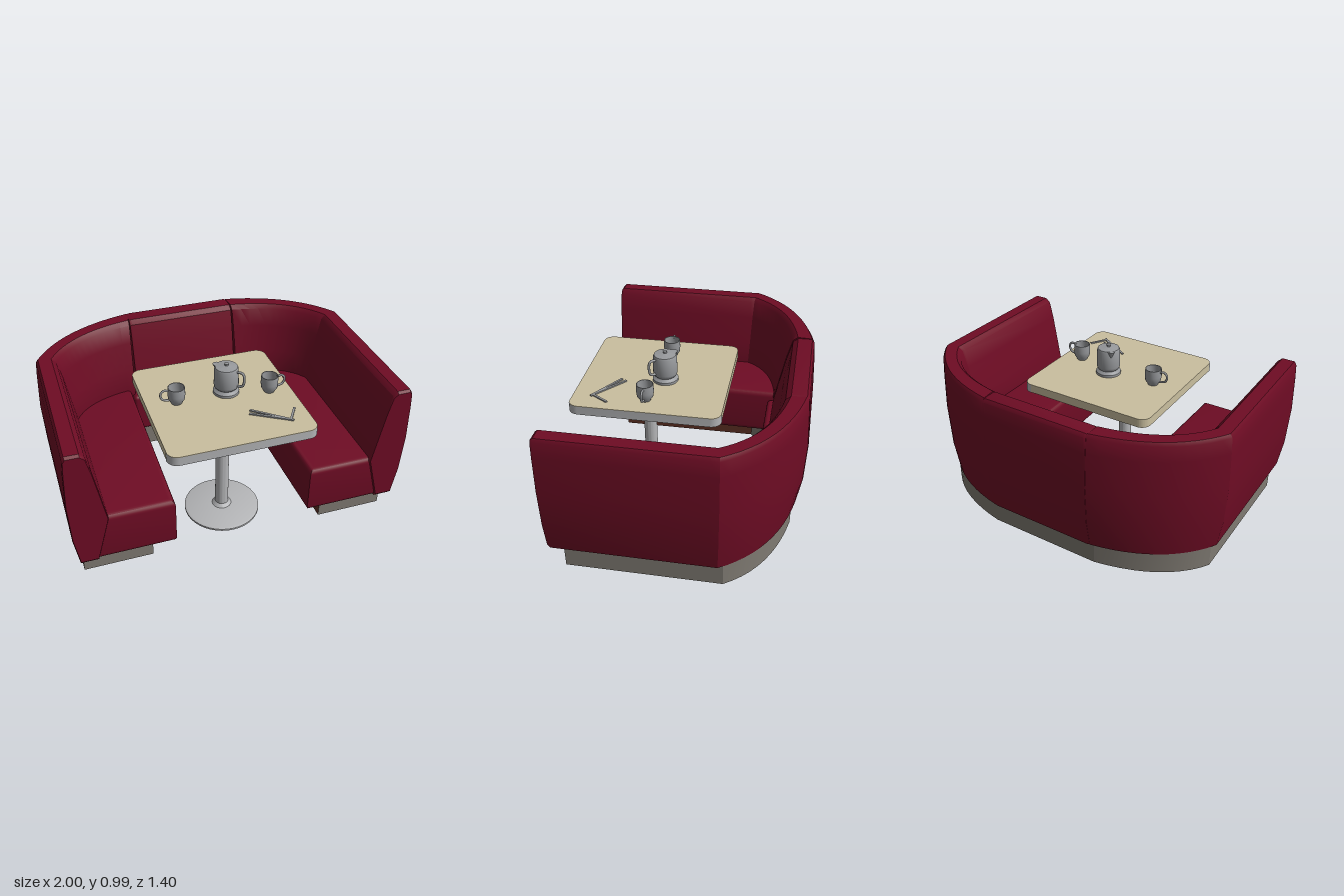
import * as THREE from 'three';
import { toCreasedNormals } from 'three/addons/utils/BufferGeometryUtils.js';
import { RoundedBoxGeometry } from 'three/addons/geometries/RoundedBoxGeometry.js';

const mat = (name, color) => Object.assign(new THREE.MeshStandardMaterial({ color }), { name });
const V2 = (x, z) => new THREE.Vector2(x, z);

export function createModel() {
  const leather = mat('red leather', 0x6e0c24);
  const kick = mat('warm grey plinth', 0x7f7a72);
  const wood = mat('brown underside', 0x5c3024);
  const laminate = mat('beige laminate', 0xcabf9f);
  const metal = mat('light metal', 0xb4b5b7);
  const steel = mat('tableware steel', 0x97999c);

  const root = new THREE.Group();
  root.name = 'diningBooth';
  const add = (name, geo, material, x = 0, y = 0, z = 0, parent = root) => {
    const m = new THREE.Mesh(geo, material);
    m.name = name;
    m.position.set(x, y, z);
    parent.add(m);
    return m;
  };

  // Builds a geometry from triangle corners
  const build = (pos, idx, crease = 0.6) => {
    const g = new THREE.BufferGeometry();
    g.setAttribute('position', new THREE.Float32BufferAttribute(pos, 3));
    g.setIndex(idx);
    return toCreasedNormals(g.toNonIndexed(), crease);
  };

  // Closed skin over cross-section rings, with both ends capped
  const centre = (r) => r.reduce((s, p) => s.add(p), new THREE.Vector3()).divideScalar(r.length);
  const loft = (rings) => {
    const n = rings[0].length, pos = [], idx = [];
    rings.forEach((r) => r.forEach((p) => pos.push(p.x, p.y, p.z)));
    for (let i = 0; i < rings.length - 1; i++) {
      for (let j = 0; j < n; j++) {
        const k = (j + 1) % n, a = i * n + j, d = i * n + k;
        idx.push(a, a + n, d, a + n, d + n, d);
      }
    }
    [0, rings.length - 1].forEach((e, side) => {
      const c = centre(rings[e]), ci = pos.length / 3;
      pos.push(c.x, c.y, c.z);
      for (let j = 0; j < n; j++) {
        const a = e * n + j, b = e * n + (j + 1) % n;
        idx.push(ci, ...(side ? [b, a] : [a, b]));
      }
    });
    return build(pos, idx);
  };

  // Upright one-sided strip along a floor path
  const wall = (pts, y0, y1) => {
    const pos = [], idx = [];
    pts.forEach((p, i) => {
      pos.push(p.x, y0, p.y, p.x, y1, p.y);
      const a = i * 2;
      if (i) idx.push(a - 2, a, a + 1, a - 2, a + 1, a - 1);
    });
    return build(pos, idx);
  };
  const mirror = (list, s) => (s > 0 ? list : list.map((p) => {
    const q = p.clone();
    q.x *= -1;
    return q;
  }).reverse());

  // Backrest profile: fraction of the thickness from the outside, height
  const profile = [[.18, .17], [.05, .35], [0, .6], [.04, .82], [.07, .915], [.13, .935],
    [.48, .935], [.6, .91], [.72, .8], [.87, .62], [1, .46], [.65, .17]];
  const ring = (o, i) => profile.map(([t, y]) =>
    new THREE.Vector3(o.x + (i.x - o.x) * t, y, o.y + (i.y - o.y) * t));
  const shrink = (r, f) => {
    const c = centre(r);
    return r.map((p) => c.clone().lerp(p, f));
  };
  const mirrorRings = (rings, s) => (s > 0 ? rings
    : rings.map((r) => r.map((p) => new THREE.Vector3(-p.x, p.y, p.z))).reverse());

  const armRing = (z) => ring(V2(1, z), V2(.78, z));
  const armRings = [shrink(armRing(.7), .96), armRing(.685), armRing(-.23), ring(V2(1, -.28), V2(.78, -.23))];
  const outer = new THREE.QuadraticBezierCurve(V2(1, -.28), V2(.8, -.61), V2(.34, -.7)).getPoints(12);
  const inner = new THREE.QuadraticBezierCurve(V2(.78, -.23), V2(.68, -.42), V2(.36, -.45)).getPoints(12);
  const cornerRings = outer.map((o, i) => ring(o, inner[i]));
  const plinthCurve = new THREE.QuadraticBezierCurve(V2(.94, -.3), V2(.78, -.56), V2(.36, -.635)).getPoints(10);

  for (const s of [1, -1]) {
    const side = s > 0 ? 'left' : 'right';
    add(side + 'ArmBackrest', loft(mirrorRings(armRings, s)), leather);
    add(side + 'CornerBackrest', loft(mirrorRings(cornerRings, s)), leather);

    // Side bench cushion running into the corner
    const b = .035;
    const foot = [V2(.405 + b, -.69 + b), V2(.9, -.69 + b), V2(.9, .27), V2(.38 + b, .47)];
    const seat = new THREE.ExtrudeGeometry(new THREE.Shape(mirror(foot, s)), {
      depth: .31 - 2 * b, bevelThickness: b, bevelSize: b, bevelSegments: 5,
    });
    seat.rotateX(-Math.PI / 2);
    add(side + 'Seat', toCreasedNormals(seat, .7), leather, 0, .17 + b, 0);

    // Plinth with brown inner side and underside
    const faces = [kick, kick, kick, wood, kick, kick];
    faces[s > 0 ? 1 : 0] = wood;
    add(side + 'Plinth', new THREE.BoxGeometry(.41, .145, .91), faces, s * .735, .1025, .155);
    add(side + 'CornerPlinthOuter', wall(mirror(plinthCurve, s), .03, .175), kick);
    add(side + 'CornerPlinthInner', wall(mirror([V2(.36, -.43), V2(.53, -.3)], s), .03, .175), kick);

    // Feet
    for (const [x, z] of [[.885, .53], [.59, .53], [.885, -.25], [.59, -.25], [.31, -.57]]) {
      add(side + 'Foot', new THREE.CylinderGeometry(.027, .027, .025, 16), metal, s * x, .0195, z);
    }
  }

  // Straight back section
  const backRing = (x) => ring(V2(x, -.703), V2(x, -.45));
  add('backBackrest', loft([shrink(backRing(.345), .985), backRing(.33), backRing(-.33),
    shrink(backRing(-.345), .985)]), leather);
  add('backSeat', new RoundedBoxGeometry(.76, .27, .13, 3, .025), leather, 0, .305, -.475);
  add('backPlinth', new THREE.BoxGeometry(.72, .145, .205), [kick, kick, kick, wood, kick, kick], 0, .1025, -.5325);

  // Table top with rounded corners, and metal trim on its edge
  const w = .435, z0 = -.2, z1 = .695, r = .06;
  const top = new THREE.Shape();
  top.moveTo(-w + r, -z1).lineTo(w - r, -z1);
  top.absarc(w - r, -z1 + r, r, -Math.PI / 2, 0);
  top.lineTo(w, -z0 - r);
  top.absarc(w - r, -z0 - r, r, 0, Math.PI / 2);
  top.lineTo(-w + r, -z0);
  top.absarc(-w + r, -z0 - r, r, Math.PI / 2, Math.PI);
  top.lineTo(-w, -z1 + r);
  top.absarc(-w + r, -z1 + r, r, Math.PI, Math.PI * 1.5);
  const slab = new THREE.ExtrudeGeometry(top, { depth: .055, bevelEnabled: false, curveSegments: 8 });
  slab.rotateX(-Math.PI / 2);
  add('tableTop', toCreasedNormals(slab, .6), laminate, 0, .735, 0);
  const arc = (cx, cz, a0) => Array.from({ length: 9 }, (_, i) => {
    const a = a0 - i * Math.PI / 16, e = r + .003;
    return V2(cx + Math.cos(a) * e, cz + Math.sin(a) * e);
  });
  add('tableTrim', wall([...arc(-w + r, z1 - r, Math.PI), ...arc(w - r, z1 - r, Math.PI / 2),
    ...arc(w - r, z0 + r, 0)], .735, .789), metal);

  // Pedestal
  const lathe = (pts, seg = 32) =>
    toCreasedNormals(new THREE.LatheGeometry(pts.map(([x, y]) => V2(x, y)), seg).toNonIndexed(), .6);
  add('pedestal', lathe([[0, .004], [.235, .004], [.235, .016], [.22, .022], [.06, .03],
    [.041, .05], [.041, .735]], 40), metal, -.005, 0, .31);

  // Curved handle or spout
  const tube = (pts, rad) => new THREE.TubeGeometry(
    new THREE.CatmullRomCurve3(pts.map((p) => new THREE.Vector3(...p))), 16, rad, 8);

  // Cups
  for (const [x, z, turn] of [[-.255, .21, Math.PI], [.3, .26, 0]]) {
    const cup = new THREE.Group();
    cup.name = 'cup';
    cup.position.set(x, .79, z);
    cup.rotation.y = turn;
    root.add(cup);
    add('cupBody', lathe([[0, .002], [.032, .002], [.036, .012], [.048, .03], [.052, .06],
      [.05, .108], [.046, .108], [.046, .04], [0, .015]], 24), steel, 0, 0, 0, cup);
    add('cupHandle', tube([[.045, .09, 0], [.075, .097, 0], [.095, .075, 0], [.085, .04, 0], [.046, .025, 0]], .007),
      steel, 0, 0, 0, cup);
  }

  // Coffee pot
  const pot = new THREE.Group();
  pot.name = 'coffeePot';
  pot.position.set(.055, .79, .19);
  pot.rotation.y = -Math.PI / 4;
  root.add(pot);
  add('potBody', lathe([[0, .002], [.078, .002], [.078, .018], [.066, .026], [.06, .034], [.07, .045],
    [.074, .06], [.071, .165], [.066, .176], [.02, .182], [.011, .184], [.013, .197], [0, .199]]), steel, 0, 0, 0, pot);
  add('potHandle', tube([[.065, .155, 0], [.105, .155, 0], [.115, .13, 0], [.105, .07, 0], [.065, .06, 0]], .008),
    steel, 0, 0, 0, pot);
  add('potSpout', new THREE.ConeGeometry(.022, .05, 12), steel, -.066, .15, 0, pot).rotation.z = Math.PI;

  // Cutlery
  for (const [xa, za, xb, zb, name] of [[.12, .42, .32, .585, 'knife'], [.105, .45, .3, .57, 'fork'],
    [.31, .57, .37, .475, 'spoon']]) {
    const m = add(name, new THREE.BoxGeometry(Math.hypot(xb - xa, zb - za), .008, .013), steel,
      (xa + xb) / 2, .797, (za + zb) / 2);
    m.rotation.y = -Math.atan2(zb - za, xb - xa);
  }
  return root;
}
